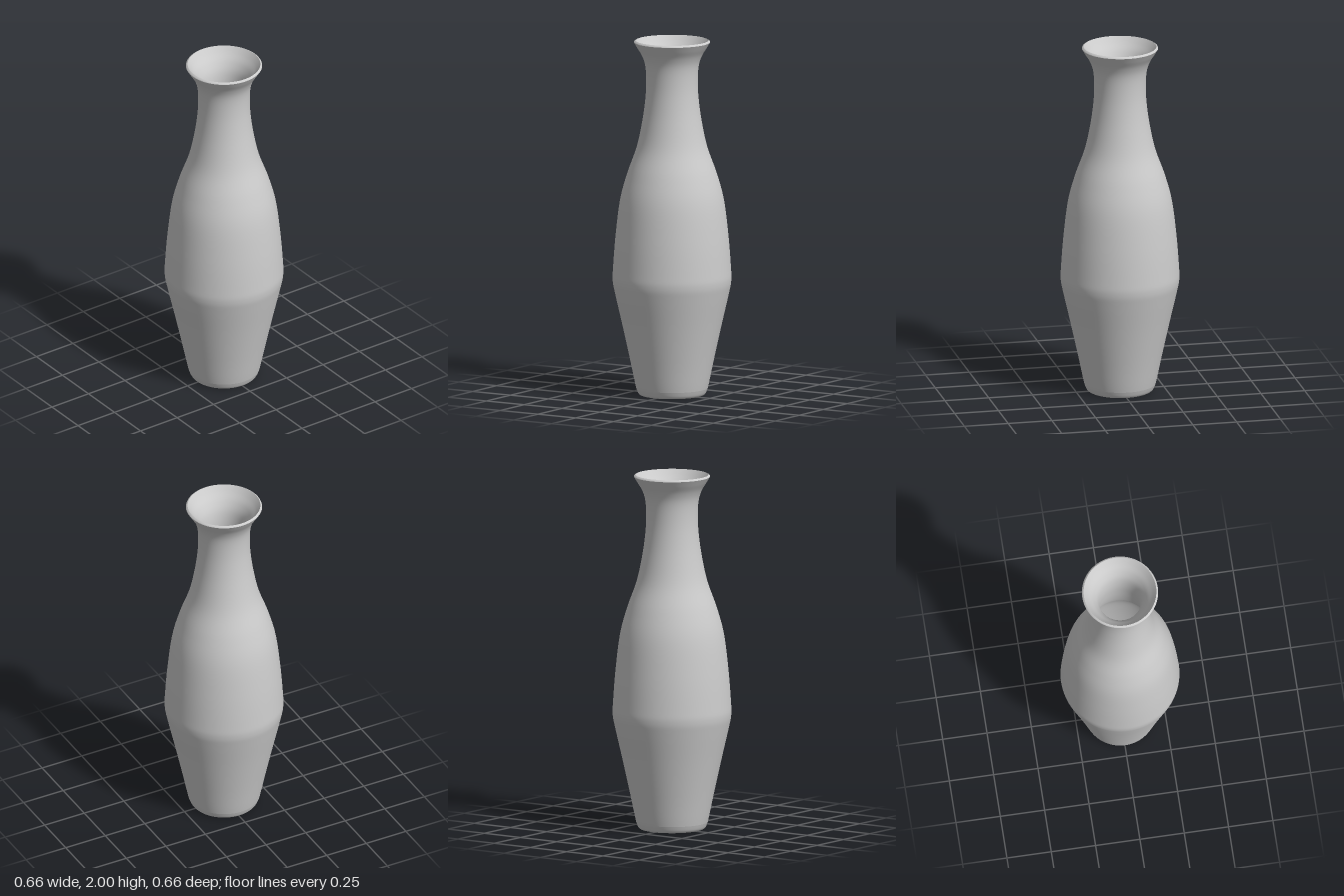
import * as THREE from 'three';

const SEGMENTS = 96;

export function createModel() {
  const vase = new THREE.Group();
  vase.name = 'vase';
  const ceramic = new THREE.MeshStandardMaterial({ color: 0xcccccc });
  ceramic.name = 'grey ceramic';

  // Turns a [radius, height] profile; optional smoothing through a spline
  function turn(name, profile, samples) {
    let points = profile.map(([r, y]) => new THREE.Vector2(r, y));
    if (samples) points = new THREE.SplineCurve(points).getPoints(samples);
    const mesh = new THREE.Mesh(new THREE.LatheGeometry(points, SEGMENTS), ceramic);
    mesh.name = name;
    vase.add(mesh);
  }

  // Flat underside with its rounded foot edge
  turn('underside', [[0, 0], [0.165, 0]]);
  turn('footEdge', [[0.165, 0], [0.18, 0.003], [0.19, 0.014], [0.2, 0.04]], 12);

  // Outer wall: tapered foot, belly, slim neck and flared lip
  turn('outerWall', [
    [0.2, 0.04], [0.21, 0.085], [0.234, 0.2], [0.278, 0.4], [0.317, 0.57],
    [0.331, 0.645], [0.329, 0.72], [0.315, 0.9], [0.29, 1.1], [0.25, 1.25],
    [0.197, 1.4], [0.165, 1.55], [0.148, 1.68], [0.144, 1.78], [0.15, 1.86],
    [0.168, 1.915], [0.195, 1.96], [0.213, 1.99],
  ], 90);

  // Narrow bevelled rim
  turn('rim', [[0.213, 1.99], [0.211, 1.995], [0.203, 2]]);

  // Inner wall, running from the lip down to the floor
  turn('innerWall', [
    [0.203, 2], [0.18, 1.968], [0.147, 1.923], [0.122, 1.865], [0.112, 1.78],
    [0.117, 1.68], [0.134, 1.55], [0.167, 1.4], [0.22, 1.25], [0.26, 1.1],
    [0.285, 0.9], [0.299, 0.72], [0.3, 0.645], [0.286, 0.57], [0.247, 0.4],
    [0.203, 0.2], [0.18, 0.085], [0.165, 0.04],
  ], 90);
  turn('innerFloor', [[0.165, 0.04], [0, 0.04]]);

  return vase;
}
